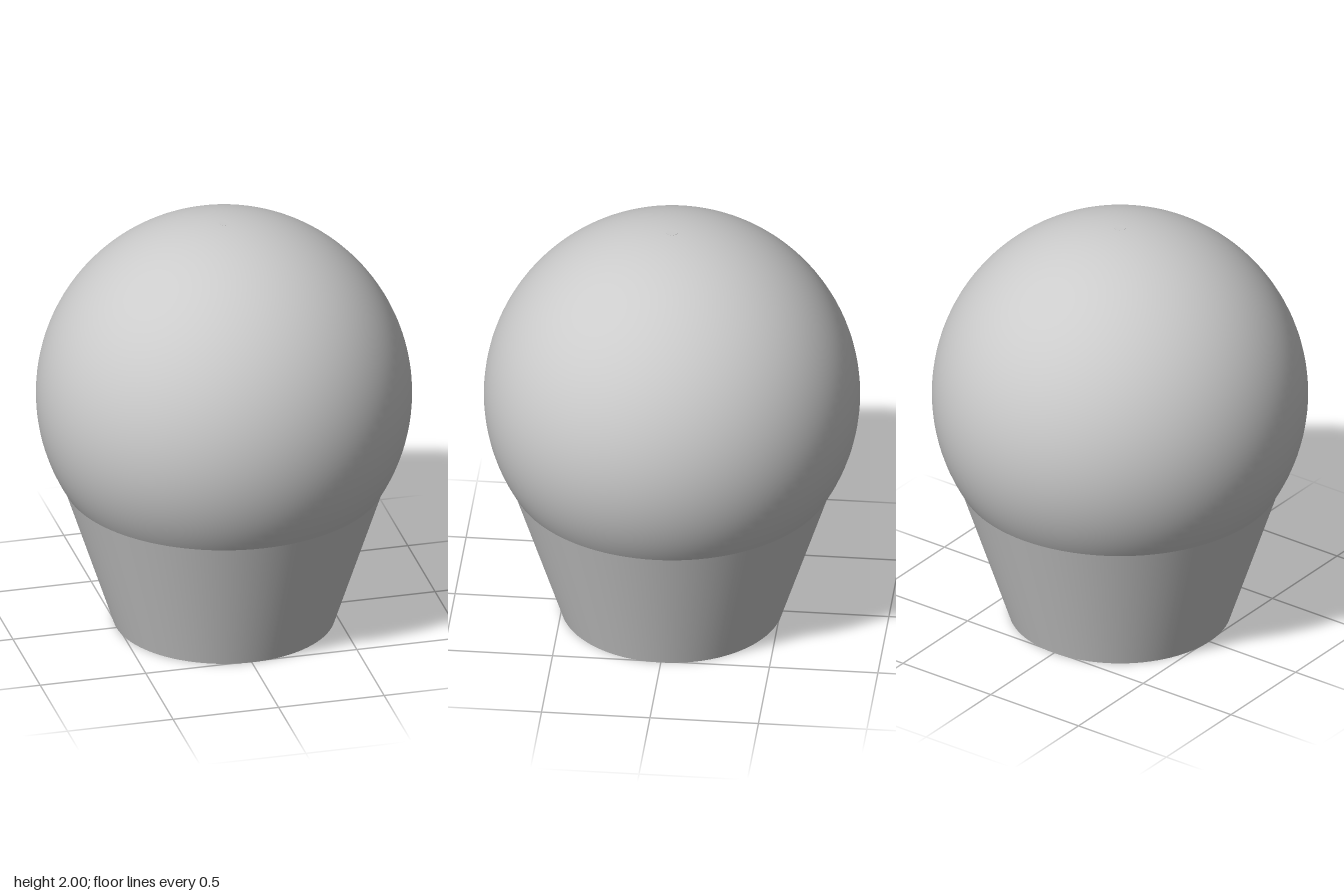
import * as THREE from 'three';

export function createModel() {
  const group = new THREE.Group();
  group.name = 'ballOnTaperedBase';
  const material = new THREE.MeshStandardMaterial({ color: 0xcccccc });

  const add = (name, geometry, y) => {
    const mesh = new THREE.Mesh(geometry, material);
    mesh.name = name;
    mesh.position.y = y;
    group.add(mesh);
  };

  const radius = 0.863;
  const centreY = 2 - radius;
  const baseHeight = 0.695;

  // Tapered base, its rim meeting the ball
  add('base', new THREE.CylinderGeometry(0.739, 0.51, baseHeight, 96), baseHeight / 2);

  // Smooth ball resting in the base
  add('ball', new THREE.SphereGeometry(radius, 96, 64), centreY);

  // Tiny flat pin end, flush with the crown of the ball
  add('crownPin', new THREE.CylinderGeometry(0.025, 0.025, 0.04, 32), 1.98);

  return group;
}
